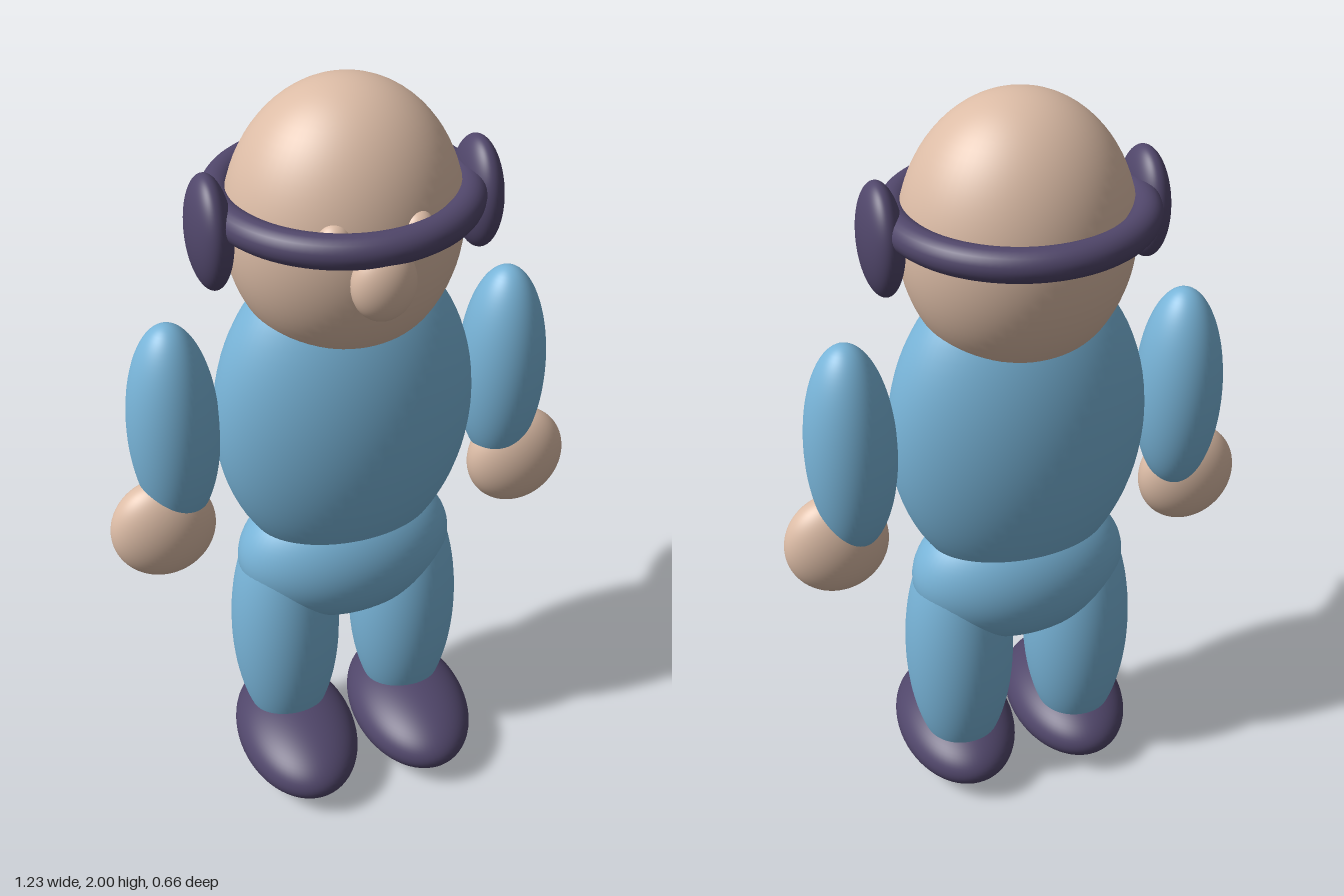
import * as THREE from 'three';

const material = (name, color) => {
  const m = new THREE.MeshStandardMaterial({ color });
  m.name = name;
  return m;
};

export function createModel() {
  const skin = material('skin', 0xdcbca6);
  const blue = material('blueCloth', 0x78b4d8);
  const purple = material('darkPurple', 0x50466a);
  const model = new THREE.Group();
  model.name = 'figure';

  // Smooth ellipsoid from centre and radii
  const ball = (name, mat, [x, y, z], radii) => {
    const geometry = new THREE.SphereGeometry(1, 64, 40);
    geometry.scale(...radii);
    const mesh = new THREE.Mesh(geometry, mat);
    mesh.name = name;
    mesh.position.set(x, y, z);
    model.add(mesh);
  };

  // Mirrored pair, left is +x
  const pair = (name, mat, [x, y, z], radii) => {
    ball('left' + name, mat, [x, y, z], radii);
    ball('right' + name, mat, [-x, y, z], radii);
  };

  // Body core
  ball('head', skin, [0, 1.66, 0.005], [0.283, 0.34, 0.249]);
  ball('nose', skin, [0, 1.635, 0.275], [0.075, 0.09, 0.053]);
  ball('torso', blue, [0, 1.14, 0.006], [0.333, 0.46, 0.21]);
  ball('pelvis', blue, [0, 0.7, 0.005], [0.29, 0.21, 0.18]);

  // Face, limbs and shoes
  pair('Eye', skin, [0.095, 1.725, 0.217], [0.04, 0.043, 0.04]);
  pair('Arm', blue, [0.432, 1.16, -0.008], [0.113, 0.29, 0.116]);
  pair('Hand', skin, [0.482, 0.878, 0.012], [0.134, 0.142, 0.082]);
  pair('Leg', blue, [0.17, 0.455, 0.006], [0.147, 0.39, 0.15]);
  pair('Shoe', purple, [0.169, 0.106, 0.081], [0.164, 0.106, 0.251]);

  // Headset: ear cups joined by a ring around the head
  pair('EarCup', purple, [0.322, 1.686, 0.021], [0.052, 0.137, 0.105]);
  const band = new THREE.Mesh(new THREE.TorusGeometry(0.289, 0.039, 24, 96), purple);
  band.name = 'headBand';
  band.rotation.x = Math.PI / 2;
  band.position.set(0, 1.725, -0.005);
  model.add(band);

  return model;
}
